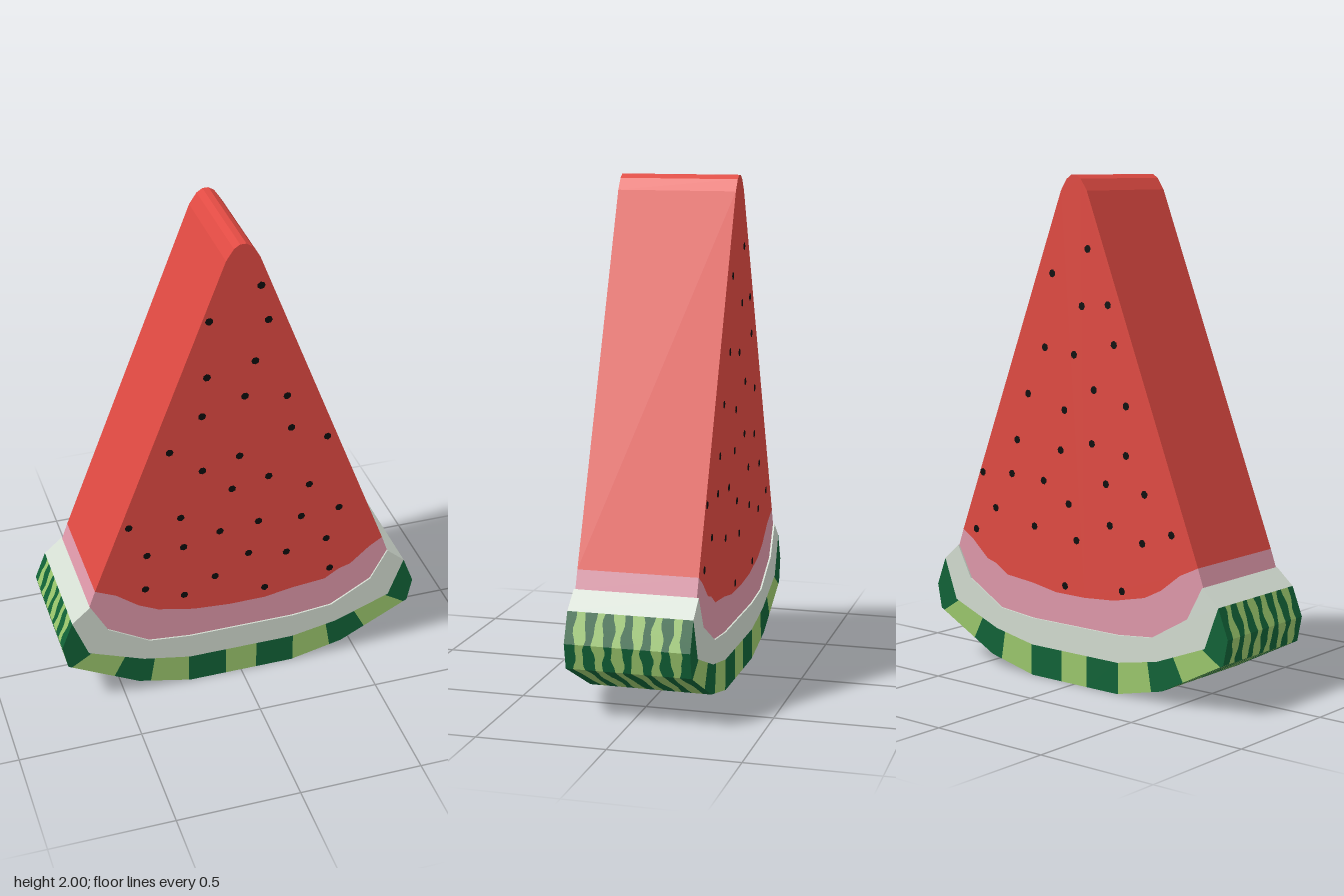
import * as THREE from 'three';

const FLESH_Z = 0.236, RIND_Z = 0.243;

const mat = (name, color, side = THREE.FrontSide) => {
  const m = new THREE.MeshStandardMaterial({ color, side });
  m.name = name;
  return m;
};

// Right half of each curved layer, running from the middle outwards
const OUTER = [[0, 0], [0.22, 0], [0.44, 0.05], [0.73, 0.2], [0.75, 0.3], [0.705, 0.415]];
const INNER = [[0, 0.125], [0.22, 0.125], [0.415, 0.162], [0.643, 0.25], [0.673, 0.33], [0.705, 0.415]];
const PINK = [[0, 0.235], [0.22, 0.235], [0.39, 0.252], [0.56, 0.35], [0.63, 0.48]];
// Uneven line between red and pink, left to right
const FLESH_EDGE = [[-0.605, 0.55], [-0.52, 0.51], [-0.43, 0.44], [-0.35, 0.4], [-0.2, 0.367], [-0.05, 0.356],
  [0.1, 0.357], [0.22, 0.378], [0.36, 0.392], [0.42, 0.43], [0.47, 0.445], [0.55, 0.515], [0.605, 0.55]];

// Mirrors a half curve into a full one, left to right
const full = half => [...half.slice(1).reverse().map(([x, y]) => [-x, y]), ...half];

// Point on a mirrored half curve; t is a signed, fractional point number
function along(half, t) {
  const a = Math.abs(t), i = Math.min(Math.floor(a), half.length - 2), f = a - i;
  const x = half[i][0] + (half[i + 1][0] - half[i][0]) * f;
  const y = half[i][1] + (half[i + 1][1] - half[i][1]) * f;
  return [t < 0 ? -x : x, y];
}

// Slab of a given half depth from an outline
function slab(name, outline, halfDepth, material) {
  const shape = new THREE.Shape(outline.map(p => new THREE.Vector2(...p)));
  const geo = new THREE.ExtrudeGeometry(shape, { depth: halfDepth * 2, bevelEnabled: false });
  geo.translate(0, 0, -halfDepth);
  const mesh = new THREE.Mesh(geo, material);
  mesh.name = name;
  return mesh;
}

// Flat-faced ribbon between two rows of points
function ribbon(name, a, b, material) {
  const pos = [];
  for (let i = 0; i + 1 < a.length; i++) {
    pos.push(...a[i], ...b[i], ...a[i + 1], ...a[i + 1], ...b[i], ...b[i + 1]);
  }
  const geo = new THREE.BufferGeometry();
  geo.setAttribute('position', new THREE.Float32BufferAttribute(pos, 3));
  geo.computeVertexNormals();
  const mesh = new THREE.Mesh(geo, material);
  mesh.name = name;
  return mesh;
}

const FRONT_SEEDS = [[0.07, 1.82], [-0.13, 1.7], [0.1, 1.67], [0.05, 1.5], [-0.14, 1.46], [0.01, 1.35], [0.18, 1.32],
  [-0.16, 1.29], [0.2, 1.17], [-0.29, 1.15], [0.35, 1.1], [-0.01, 1.08], [-0.16, 1.04], [0.11, 0.96], [-0.04, 0.93],
  [0.28, 0.885], [-0.46, 0.83], [-0.25, 0.835], [-0.09, 0.735], [0.07, 0.75], [0.25, 0.735], [0.41, 0.745],
  [-0.39, 0.68], [-0.24, 0.69], [0.03, 0.6], [0.19, 0.57], [0.36, 0.6], [-0.4, 0.515], [-0.11, 0.515],
  [-0.24, 0.45], [0.1, 0.41], [0.38, 0.445]];
const BACK_SEEDS = [[-0.07, 1.72], [0.11, 1.62], [-0.04, 1.5], [-0.17, 1.51], [0.15, 1.33], [0, 1.31], [-0.2, 1.36],
  [0.24, 1.14], [-0.1, 1.18], [-0.26, 1.13], [0.05, 1.09], [0.3, 0.95], [0.07, 0.93], [-0.09, 0.97], [-0.26, 0.94],
  [0.49, 0.8], [0.33, 0.81], [0.16, 0.8], [0.42, 0.66], [0.03, 0.72], [-0.16, 0.82], [-0.35, 0.8], [0.21, 0.61],
  [-0.01, 0.58], [-0.18, 0.66], [-0.34, 0.61], [-0.48, 0.66], [0.53, 0.56], [0.05, 0.39], [-0.24, 0.41]];

export function createModel() {
  const model = new THREE.Group();
  model.name = 'watermelonSlice';
  const red = mat('fleshRed', 0xe04a42);
  const pink = mat('fleshPink', 0xde98a9);
  const white = mat('rindWhite', 0xd2dbd0);
  const light = mat('rindLightGreen', 0x9ac66c, THREE.DoubleSide);
  const dark = mat('rindDarkGreen', 0x116237, THREE.DoubleSide);
  const black = mat('seedBlack', 0x0c0c0c);

  // Red wedge with a blunt tip
  const tip = [[0.065, 1.94], [0.035, 1.985], [0.012, 2], [-0.012, 2], [-0.035, 1.985], [-0.065, 1.94]];
  model.add(slab('redFlesh', [...FLESH_EDGE, ...tip], FLESH_Z, red));

  // Pink and white layers
  model.add(slab('pinkFlesh', [...full(PINK), ...FLESH_EDGE.slice().reverse()], FLESH_Z, pink));
  model.add(slab('whiteRind', [...full(INNER), ...full(PINK).reverse()], RIND_Z, white));

  // Green blocks on the front and back of the rind
  const cuts = [0.3, 1.03, 1.77, 2.35, 2.95, 5];
  const edges = [...cuts.slice().reverse().map(t => -t), ...cuts];
  for (let k = 0; k + 1 < edges.length; k++) {
    const [t0, t1] = [edges[k], edges[k + 1]];
    const ts = [t0];
    for (let t = Math.floor(t0) + 1; t < t1; t++) ts.push(t);
    ts.push(t1);
    const row = (half, z) => ts.map(t => [...along(half, t), z]);
    const m = k % 2 ? light : dark;
    model.add(ribbon('frontRindPatch', row(INNER, RIND_Z), row(OUTER, RIND_Z), m));
    model.add(ribbon('backRindPatch', row(OUTER, -RIND_Z), row(INNER, -RIND_Z), m));
  }

  // Wavy stripes running around the outer skin
  const STRIPES = 13, STEPS = 60;
  const stripeEdge = k => Array.from({ length: STEPS + 1 }, (_, i) => {
    const t = -5 + 10 * i / STEPS;
    const wave = k % STRIPES ? 0.006 * Math.sin(t * 4 + k * 2.3) + 0.003 * Math.sin(t * 9 + k) : 0;
    return [...along(OUTER, t), -RIND_Z + 2 * RIND_Z * k / STRIPES + wave];
  });
  for (let k = 0; k < STRIPES; k++) {
    model.add(ribbon('skinStripe', stripeEdge(k + 1), stripeEdge(k), k % 2 ? light : dark));
  }

  // Flat seeds on both cut faces
  const seedGeo = new THREE.CircleGeometry(0.016, 7);
  const addSeeds = (name, list, side) => list.forEach(([x, y], i) => {
    const seed = new THREE.Mesh(seedGeo, black);
    seed.name = name;
    seed.position.set(x, y, side * (FLESH_Z + 0.002));
    seed.rotation.set(0, side < 0 ? Math.PI : 0, i * 1.3);
    model.add(seed);
  });
  addSeeds('frontSeed', FRONT_SEEDS, 1);
  addSeeds('backSeed', BACK_SEEDS, -1);

  return model;
}
